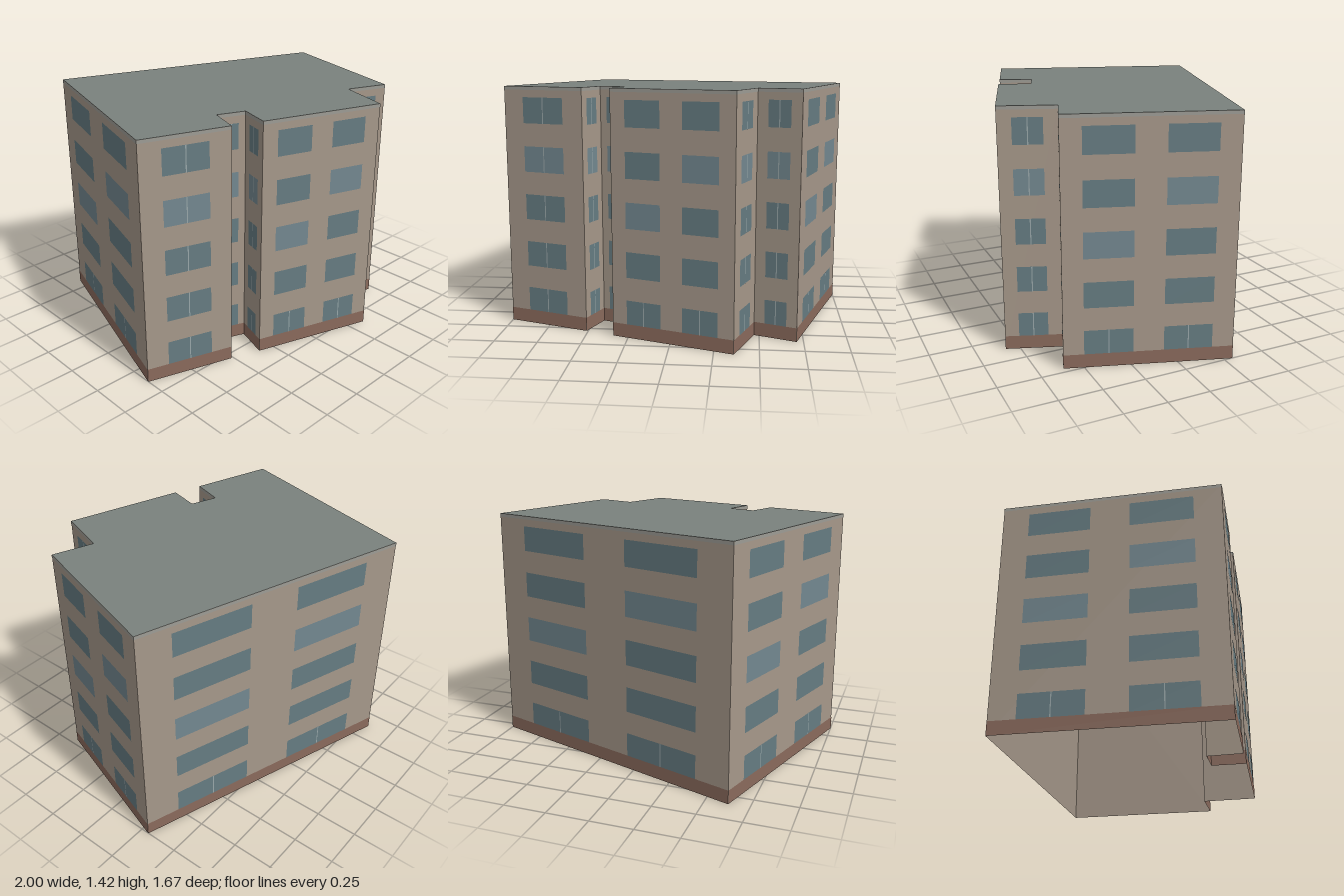
import * as THREE from 'three';

const HEIGHT = 1.42, BASE = 0.08, FLOORS = 5, STOREY = 0.284;

// Footprint corners (x, z), front-left round to the back
const FOOTPRINT = [
  [-1, 0.38], [-0.51, 0.54], [-0.44, 0.35], [-0.28, 0.41], [-0.34, 0.6],
  [0.36, 0.83], [0.47, 0.52], [0.71, 0.61], [1, -0.3], [-0.63, -0.84],
];

const material = (color, side = THREE.FrontSide) =>
  new THREE.MeshStandardMaterial({ color, side, flatShading: true, roughness: 0.9 });

export function createModel() {
  const building = new THREE.Group();
  building.name = 'apartmentBlock';

  const plaster = material(0xa6988a, THREE.DoubleSide);
  const roofing = material(0x7a817d, THREE.DoubleSide);
  const brick = material(0x8a6a5c);
  const coping = material(0x9d9c95);
  const glass = material(0x667c82);
  const paleGlass = material(0x738890);
  const frame = material(0x9aa8aa);

  // Flat panel on a wall, spanning x0..x1 and y0..y1, set out by depth
  function panel(wall, name, mat, x0, x1, y0, y1, depth) {
    const mesh = new THREE.Mesh(new THREE.PlaneGeometry(x1 - x0, y1 - y0), mat);
    mesh.name = name;
    mesh.position.set((x0 + x1) / 2, (y0 + y1) / 2, depth);
    wall.add(mesh);
  }

  FOOTPRINT.forEach(([x, z], i) => {
    const [nx, nz] = FOOTPRINT[(i + 1) % FOOTPRINT.length];
    const length = Math.hypot(nx - x, nz - z);
    const wall = new THREE.Group();
    wall.name = `wall${i + 1}`;
    wall.position.set(x, 0, z);
    wall.rotation.y = Math.atan2(z - nz, nx - x);
    building.add(wall);

    panel(wall, 'wallSurface', plaster, 0, length, 0, HEIGHT, 0);
    panel(wall, 'brickBase', brick, 0, length, 0, BASE, 0.0015);
    panel(wall, 'copingBand', coping, 0, length, HEIGHT - 0.02, HEIGHT, 0.0015);

    // Long walls carry two windows per floor, short ones a single divided window
    const wide = length > 0.6;
    const centres = wide ? [0.265, 0.73] : [0.5];
    const half = length * (wide ? 0.143 : 0.255);
    centres.forEach((c, column) => {
      for (let floor = 0; floor < FLOORS; floor++) {
        const bottom = Math.max(BASE, 0.072 + floor * STOREY);
        const top = 0.222 + floor * STOREY;
        const mid = c * length;
        const pale = floor === (wide && column === 0 ? 2 : 3);
        panel(wall, 'window', pale ? paleGlass : glass, mid - half, mid + half, bottom, top, 0.0015);
        if (!wide || floor === 0) {
          const w = Math.min(0.003, half * 0.05);
          panel(wall, 'windowMullion', frame, mid - w, mid + w, bottom, top, 0.0025);
        }
      }
    });
  });

  // Flat roof over the footprint
  const outline = new THREE.Shape(FOOTPRINT.map(([x, z]) => new THREE.Vector2(x, -z)));
  const roof = new THREE.Mesh(new THREE.ShapeGeometry(outline).rotateX(-Math.PI / 2), roofing);
  roof.name = 'roof';
  roof.position.y = HEIGHT;
  building.add(roof);

  return building;
}
